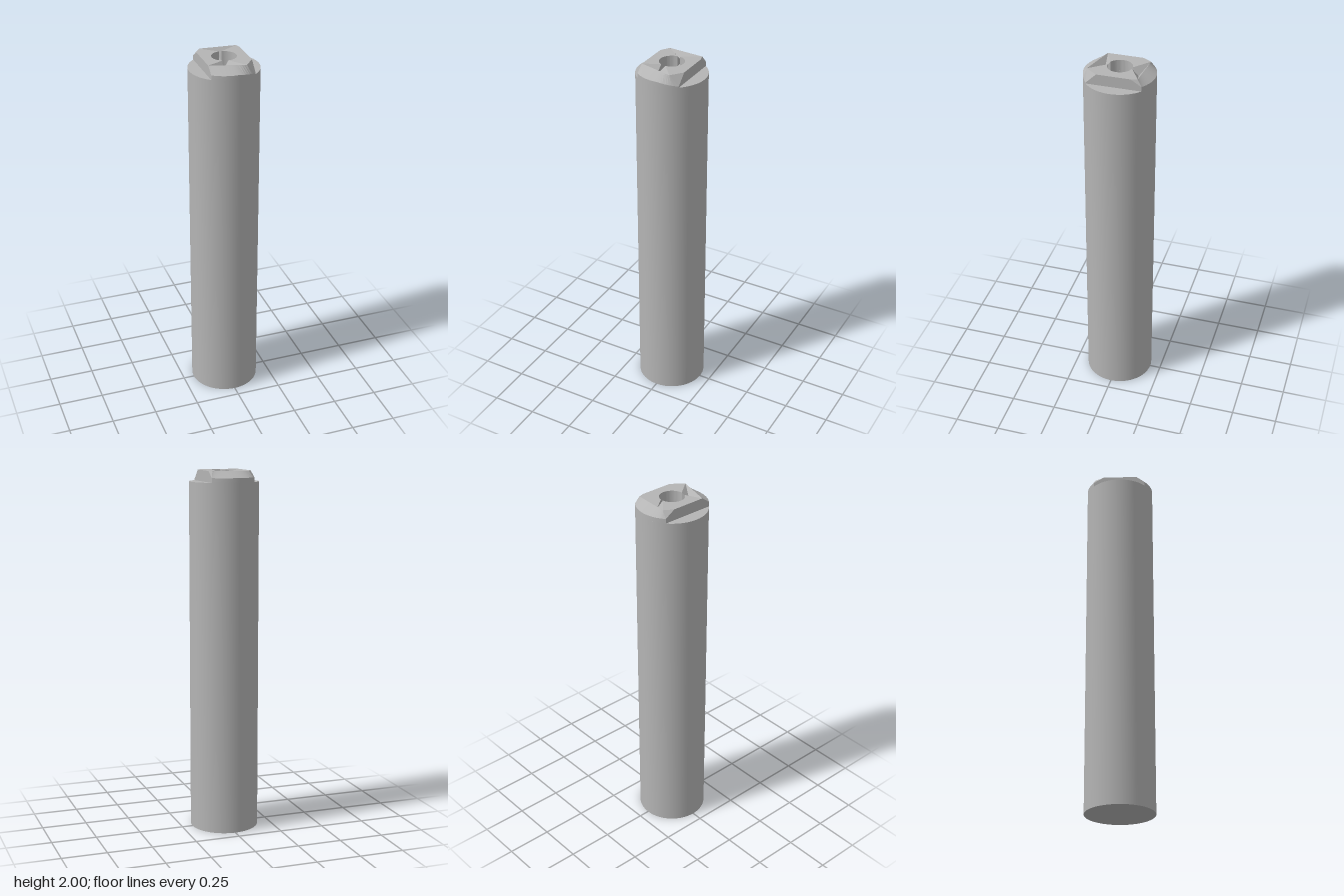
import * as THREE from 'three';
import { toCreasedNormals } from 'three/addons/utils/BufferGeometryUtils.js';

const R = 0.19, HOLE = 0.067, LEDGE = 1.94, TOP = 2, FLOOR = 1.9, HALF = 0.12;
const CORNER = Math.asin(HALF / R);

const v = (x, y, z) => new THREE.Vector3(x, y, z);
const polar = (r, a, y) => v(r * Math.sin(a), y, r * Math.cos(a));
const arc = (r, a, b, n, y) =>
  Array.from({ length: n + 1 }, (_, i) => polar(r, a + (b - a) * i / n, y));

export function createModel() {
  const group = new THREE.Group();
  const steel = new THREE.MeshStandardMaterial({ color: 0xb4b4b4 });
  steel.name = 'steel grey';

  const add = (geometry, name, crease = 0.5) => {
    const mesh = new THREE.Mesh(toCreasedNormals(geometry, crease), steel);
    mesh.name = name;
    group.add(mesh);
  };

  // Collects triangles, each turned to face the given direction
  const builder = () => {
    const data = [];
    const tri = (a, b, c, dir) => {
      const n = b.clone().sub(a).cross(c.clone().sub(a));
      const order = n.dot(dir) < 0 ? [a, c, b] : [a, b, c];
      order.forEach(p => data.push(p.x, p.y, p.z));
    };
    const fan = (pts, dir) => {
      for (let i = 1; i < pts.length - 1; i++) tri(pts[0], pts[i], pts[i + 1], dir);
    };
    const flat = (pts, dir) => {
      const outline = pts.map(p => new THREE.Vector2(p.x, p.z));
      THREE.ShapeUtils.triangulateShape(outline, [])
        .forEach(([a, b, c]) => tri(pts[a], pts[b], pts[c], dir));
    };
    const strip = (p, q, dir) => {
      for (let i = 0; i < p.length - 1; i++) {
        const d = dir || v(p[i].x + p[i + 1].x, 0, p[i].z + p[i + 1].z);
        tri(p[i], q[i], p[i + 1], d);
        tri(p[i + 1], q[i], q[i + 1], d);
      }
    };
    const geometry = () => new THREE.BufferGeometry()
      .setAttribute('position', new THREE.Float32BufferAttribute(data, 3));
    return { tri, fan, flat, strip, geometry };
  };
  const up = v(0, 1, 0);

  // Round shaft with its base and the ledge around the tab
  add(new THREE.LatheGeometry([
    [0, 0], [R, 0], [R, LEDGE], [HOLE, LEDGE],
  ].map(([x, y]) => new THREE.Vector2(x, y)), 64), 'shaft');

  // Conical bottom of the centre hole
  add(new THREE.LatheGeometry([
    new THREE.Vector2(HOLE, FLOOR), new THREE.Vector2(0, FLOOR - 0.035),
  ], 48), 'holeBottom');

  // Corners of the flat top of the tab
  const frontLeft = v(0.07, TOP, 0.155), frontSide = v(HALF, TOP, 0.09);
  const frontRight = v(-HALF, TOP, 0.1);
  const backLeft = v(0.11, TOP, -0.125), backSideL = v(HALF, TOP, -0.09);
  const backRight = v(-0.09, TOP, -0.14), backSideR = v(-HALF, TOP, -0.09);

  // Flat top in two halves, parted by the notches
  const holeL = [0, Math.PI - 0.15], holeR = [Math.PI + 0.08, 2 * Math.PI - 0.46];
  const arcL = arc(HOLE, ...holeL, 24, TOP), arcR = arc(HOLE, ...holeR, 24, TOP);
  const top = builder();
  top.flat([frontLeft, frontSide, backSideL, backLeft, ...arcL.slice().reverse()], up);
  top.flat([frontRight, ...arcR.slice().reverse(), backRight, backSideR], up);
  add(top.geometry(), 'tabTop');

  // Faceted notches running from the hole to the front and back
  const notch = builder();
  const addNotch = (pit, edgeL, edgeR, rimL, rimR) => {
    const lowL = rimL.clone().setY(LEDGE), lowR = rimR.clone().setY(LEDGE);
    notch.tri(edgeL, edgeR, pit, up);
    notch.tri(edgeL, rimL, pit, up);
    notch.tri(edgeR, rimR, pit, up);
    notch.tri(pit, lowL, lowR, up);
    notch.tri(pit, rimL, lowL, v(-1, 0, 0));
    notch.tri(pit, rimR, lowR, v(1, 0, 0));
  };
  addNotch(v(0.005, 1.96, -0.1), backLeft, backRight, arcL[24], arcR[0]);
  addNotch(v(-0.035, 1.96, 0.09), frontLeft, frontRight, arcL[0], arcR[24]);
  add(notch.geometry(), 'notches', 0.01);

  // Wall of the centre hole, lower where the notches open into it
  const wall = builder();
  const holeWall = (a, b, n, y) => {
    const rim = arc(HOLE, a, b, n, y);
    for (let i = 0; i < n; i++) {
      const inward = v(-rim[i].x, 0, -rim[i].z);
      const pair = [rim[i], rim[i + 1]];
      wall.strip(pair, pair.map(p => p.clone().setY(FLOOR)), inward);
    }
  };
  holeWall(...holeL, 24, TOP);
  holeWall(...holeR, 24, TOP);
  holeWall(holeL[1], holeR[0], 3, LEDGE);
  holeWall(-0.46, 0, 5, LEDGE);
  add(wall.geometry(), 'holeWall');

  // Sloping ends of the tab, with the short round wall below each
  const ends = builder(), endWalls = builder();
  const N = 16;
  const slope = (from, to, rim) => {
    const edge = rim.map((_, i) => from.clone().lerp(to, i / (rim.length - 1)));
    ends.strip(edge, rim, up);
    endWalls.strip(rim, rim.map(p => p.clone().setY(LEDGE)));
  };
  const frontRim = arc(R, -CORNER, 0.56, N, 1.965);
  frontRim.forEach((p, i) => { p.y -= 0.015 * Math.max(0, (i - 10) / 6); });
  const backRim = arc(R, Math.PI - CORNER, Math.PI + CORNER, N, 1.965);
  slope(frontRight, frontLeft, frontRim);
  slope(backLeft, backRight, backRim);
  add(ends.geometry(), 'slopedEnds');

  // Cut corners of the tab
  const corners = builder();
  const frontTip = polar(R, CORNER, 1.945);
  corners.fan([frontLeft, frontSide, frontTip, frontRim[N]], up);
  corners.tri(backSideL, backLeft, backRim[0], up);
  corners.tri(backSideR, backRight, backRim[N], up);
  const tipPair = [frontRim[N], frontTip];
  endWalls.strip(tipPair, tipPair.map(p => p.clone().setY(LEDGE)));
  add(corners.geometry(), 'cutCorners', 0.01);
  add(endWalls.geometry(), 'endWalls');

  // Straight side walls of the tab
  const sides = builder();
  const drop = p => p.clone().setY(LEDGE);
  sides.fan([backSideL, frontSide, frontTip, drop(frontTip), drop(backRim[0]), backRim[0]], v(1, 0, 0));
  sides.fan([backSideR, frontRight, frontRim[0], drop(frontRim[0]), drop(backRim[N]), backRim[N]], v(-1, 0, 0));
  add(sides.geometry(), 'tabSides');

  return group;
}
